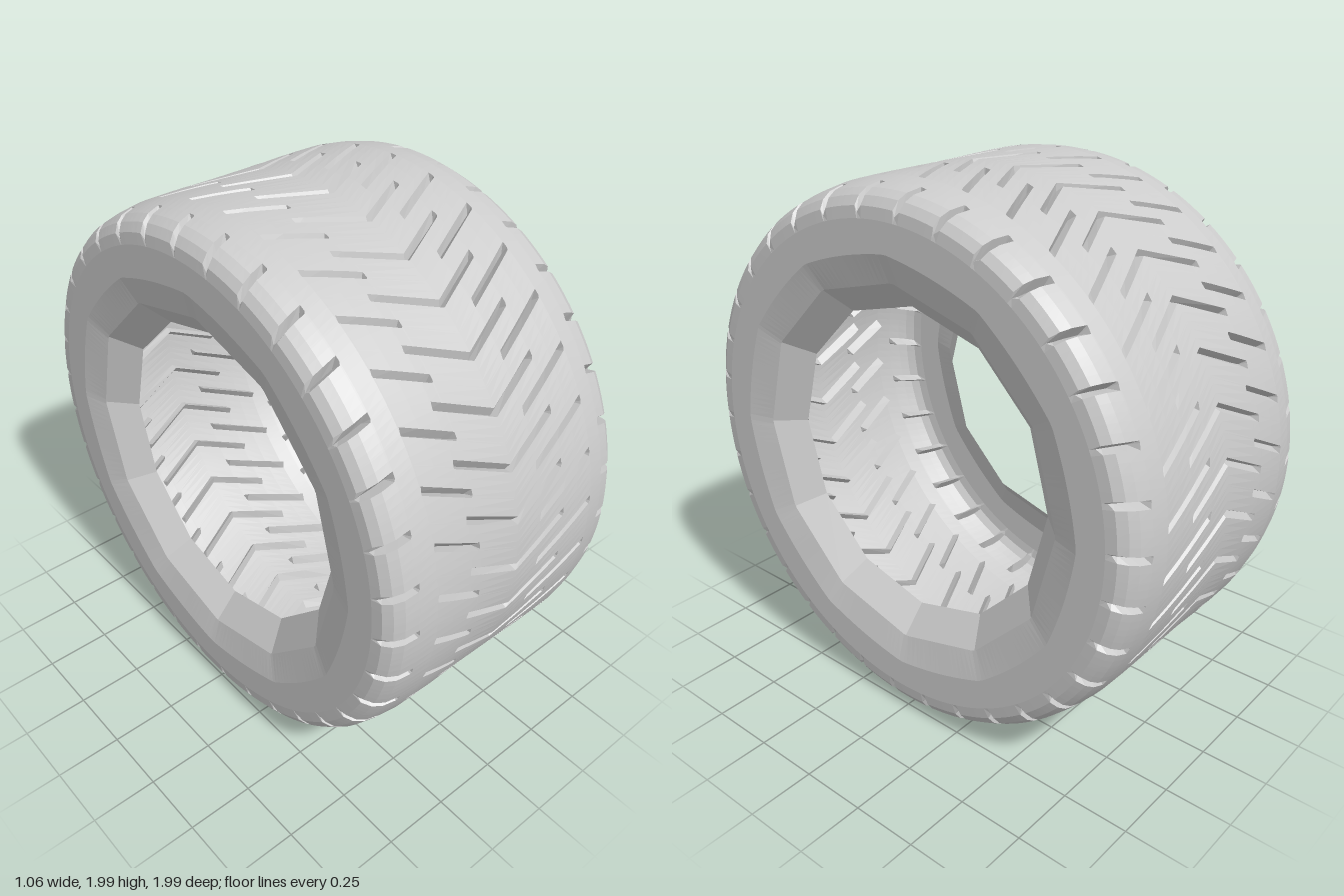
import * as THREE from 'three';

const PITCHES = 34;                       // tread pattern repeats around the tyre
const STEP = (Math.PI * 2) / PITCHES;
// rows inside one pitch: [fraction, main groove, half-pitch groove]
const ROWS = [[0, 0, 0], [0.04, 1, 0], [0.16, 0, 0], [0.33, 0, 0], [0.5, 0, 0], [0.54, 0, 1], [0.66, 0, 0], [0.83, 0, 0]];
const N = PITCHES * ROWS.length;

const material = new THREE.MeshStandardMaterial({
  color: 0xcccccc, flatShading: true, side: THREE.DoubleSide,
});

// Closed band round the x axis; point(column, row) gives [x, radius, angle]
function band(name, columns, rows, point) {
  const positions = [], index = [];
  for (let j = 0; j < rows; j++) {
    for (let i = 0; i < columns; i++) {
      const [x, r, a] = point(i, j);
      positions.push(x, 1 + r * Math.sin(a), r * Math.cos(a));
    }
  }
  for (let j = 0; j < rows; j++) {
    const k = ((j + 1) % rows) * columns;
    for (let i = 0; i < columns - 1; i++) {
      const a = j * columns + i, b = a + 1, c = k + i, d = c + 1;
      index.push(a, b, d, a, d, c);
    }
  }
  const geometry = new THREE.BufferGeometry();
  geometry.setAttribute('position', new THREE.Float32BufferAttribute(positions, 3));
  geometry.setIndex(index);
  geometry.computeVertexNormals();
  const mesh = new THREE.Mesh(geometry, material);
  mesh.name = name;
  return mesh;
}

// Chevron sweep: grooves lead towards the shoulder, then bend back over it
function phase(x) {
  const d = Math.abs(x);
  return d < 0.36 ? 0.5 * d : 0.18 - 0.25 * (d - 0.36);
}

const rowAngle = (j, x) => (Math.floor(j / ROWS.length) + ROWS[j % ROWS.length][0]) * STEP + phase(x);

// Radius of a twelve-sided ring at a given angle
function polygonRadius(radius, angle) {
  const s = Math.PI / 6;
  const local = (((angle % s) + s) % s) - s / 2;
  return (radius * Math.cos(s / 2)) / Math.cos(local);
}

// Half tread section: [x, radius, main groove depth, half-pitch groove depth]
function treadHalf(branch) {
  return [
    [0, 0.995, 0.028, 0],
    [branch - 0.005, 0.996, 0.034, 0],
    [branch, 0.996, 0.034, 0.034],
    [0.215, 0.997, 0.032, 0.034],
    [0.22, 0.997, 0, 0.034],
    [0.29, 0.997, 0, 0.036],
    [0.355, 0.996, 0, 0.034],
    [0.36, 0.996, 0, 0],
    [0.425, 0.987, 0, 0],
    [0.43, 0.986, 0.045, 0],
    [0.475, 0.975, 0.05, 0],
    [0.505, 0.955, 0.045, 0],
    [0.525, 0.925, 0.02, 0],
    [0.53, 0.885, 0, 0],
  ];
}

export function createModel() {
  const tyre = new THREE.Group();
  tyre.name = 'tyre';

  // Tread: one thin shell with chevron grooves and notched shoulders
  const leftHalf = treadHalf(0.11);
  const rightHalf = treadHalf(0.18).slice(1).reverse().map(([x, ...rest]) => [-x, ...rest]);
  const section = [...rightHalf, ...leftHalf];
  tyre.add(band('tread', section.length, N, (i, j) => {
    const [x, r, main, half] = section[i];
    const [, a, b] = ROWS[j % ROWS.length];
    return [x, r - main * a - half * b, rowAngle(j, x)];
  }));

  for (const [label, side] of [['left', 1], ['right', -1]]) {
    // Sidewall: runs from the round shoulder to the faceted rim opening
    const wall = [[0.53, 0.885, 0], [0.53, 0.78, 0.5], [0.5, 0.68, 1]];
    tyre.add(band(label + 'Sidewall', wall.length, N, (i, j) => {
      const [x, r, facet] = wall[i];
      const a = rowAngle(j, 0.53);
      return [side * x, THREE.MathUtils.lerp(r, polygonRadius(r, a), facet), a];
    }));

    // Bead: faceted cone turning into the hollow inside
    const bead = [[0.5, 0.68], [0.41, 0.58]];
    tyre.add(band(label + 'Bead', bead.length, 12, (i, j) =>
      [side * bead[i][0], bead[i][1], (j * Math.PI) / 6]));
  }
  return tyre;
}
